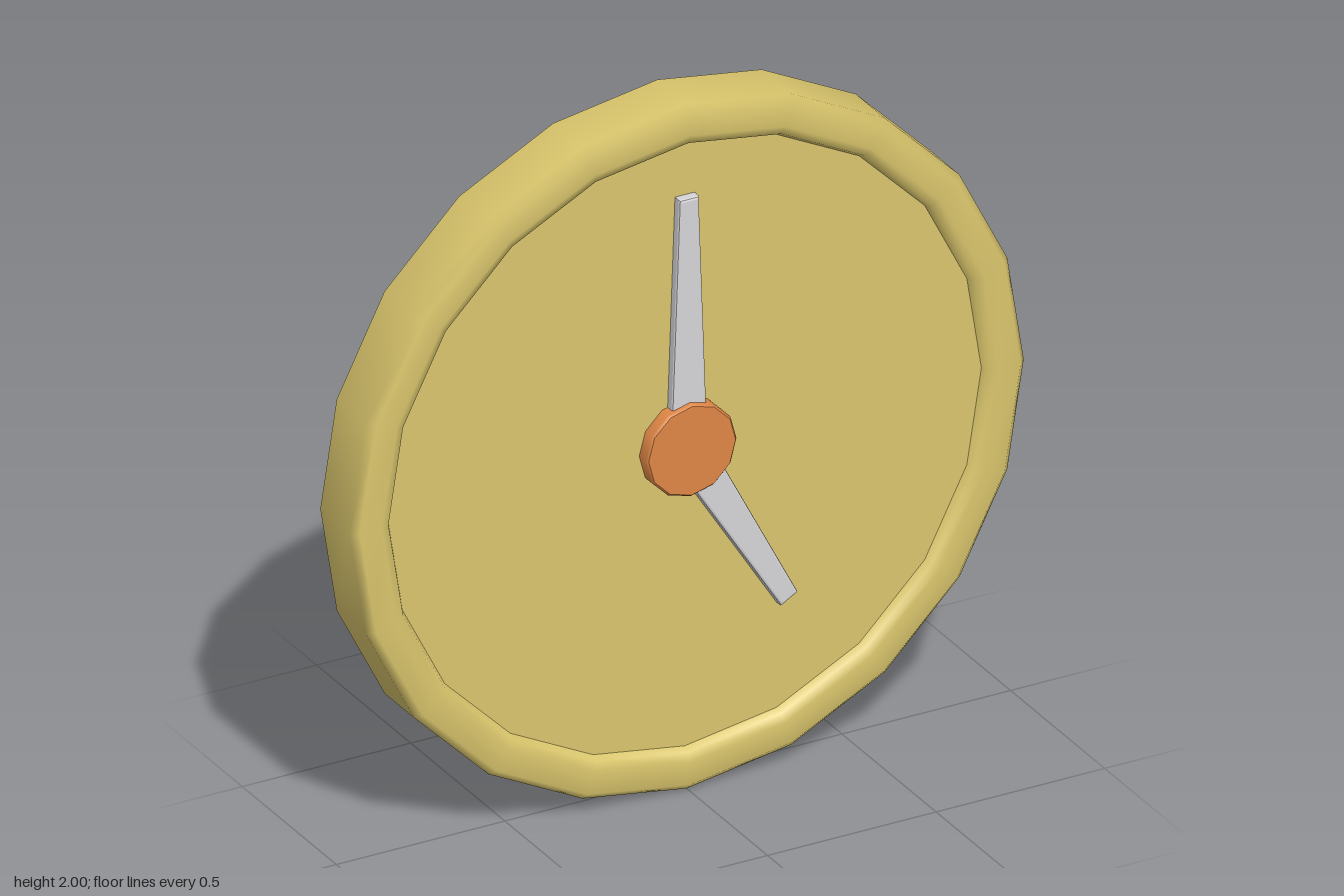
import * as THREE from 'three';

const material = (name, color) => {
  const m = new THREE.MeshStandardMaterial({ color });
  m.name = name;
  return m;
};

export function createModel() {
  const gold = material('gold', 0xd9c56c);
  const silver = material('silver', 0xd6d4d7);
  const copper = material('copper', 0xe08746);

  const clock = new THREE.Group();
  clock.name = 'wallClock';
  // Everything is built around the dial centre, facing +z
  const body = new THREE.Group();
  body.name = 'clockBody';
  body.position.y = 1;
  clock.add(body);

  const add = (name, geometry, mat) => {
    const mesh = new THREE.Mesh(geometry, mat);
    mesh.name = name;
    body.add(mesh);
    return mesh;
  };
  // Profile of [radius, z] turned about the z axis, with a vertex straight down
  const turned = (profile, sides) =>
    new THREE.LatheGeometry(profile.map(([r, z]) => new THREE.Vector2(r, z)), sides).rotateX(Math.PI / 2);
  // Flat polygon facing +z
  const disc = (radius, sides, z) => new THREE.CircleGeometry(radius, sides).translate(0, 0, z);

  // Rounded casing rim with a recessed inner lip
  add('rim', turned([
    [0.985, -0.1], [1, -0.085], [1, 0.07], [0.98, 0.09],
    [0.915, 0.09], [0.89, 0.08], [0.88, 0.06],
  ], 20), gold);
  add('dialFace', disc(0.88, 20, 0.06), gold);
  add('backPlate', disc(0.985, 20, 0).rotateY(Math.PI).translate(0, 0, -0.1), gold);

  // Tapered hands with a small bevel
  const addHand = (name, length, angle) => {
    const bevel = 0.007;
    const shape = new THREE.Shape([
      new THREE.Vector2(-0.055, 0), new THREE.Vector2(0.055, 0),
      new THREE.Vector2(0.029, length), new THREE.Vector2(-0.029, length),
    ]);
    const geometry = new THREE.ExtrudeGeometry(shape, {
      depth: 0.02, bevelThickness: bevel, bevelSize: bevel, bevelOffset: -bevel, bevelSegments: 2,
    });
    const hand = add(name, geometry, silver);
    hand.position.z = 0.06;
    hand.rotation.z = angle;
  };
  addHand('minuteHand', 0.73, 0);
  addHand('hourHand', 0.595, -Math.PI * 5 / 6);

  // Centre hub
  add('hubSide', turned([[0.135, 0.055], [0.135, 0.093], [0.129, 0.1]], 12), copper);
  add('hubCap', disc(0.129, 12, 0.1), copper);

  return clock;
}
